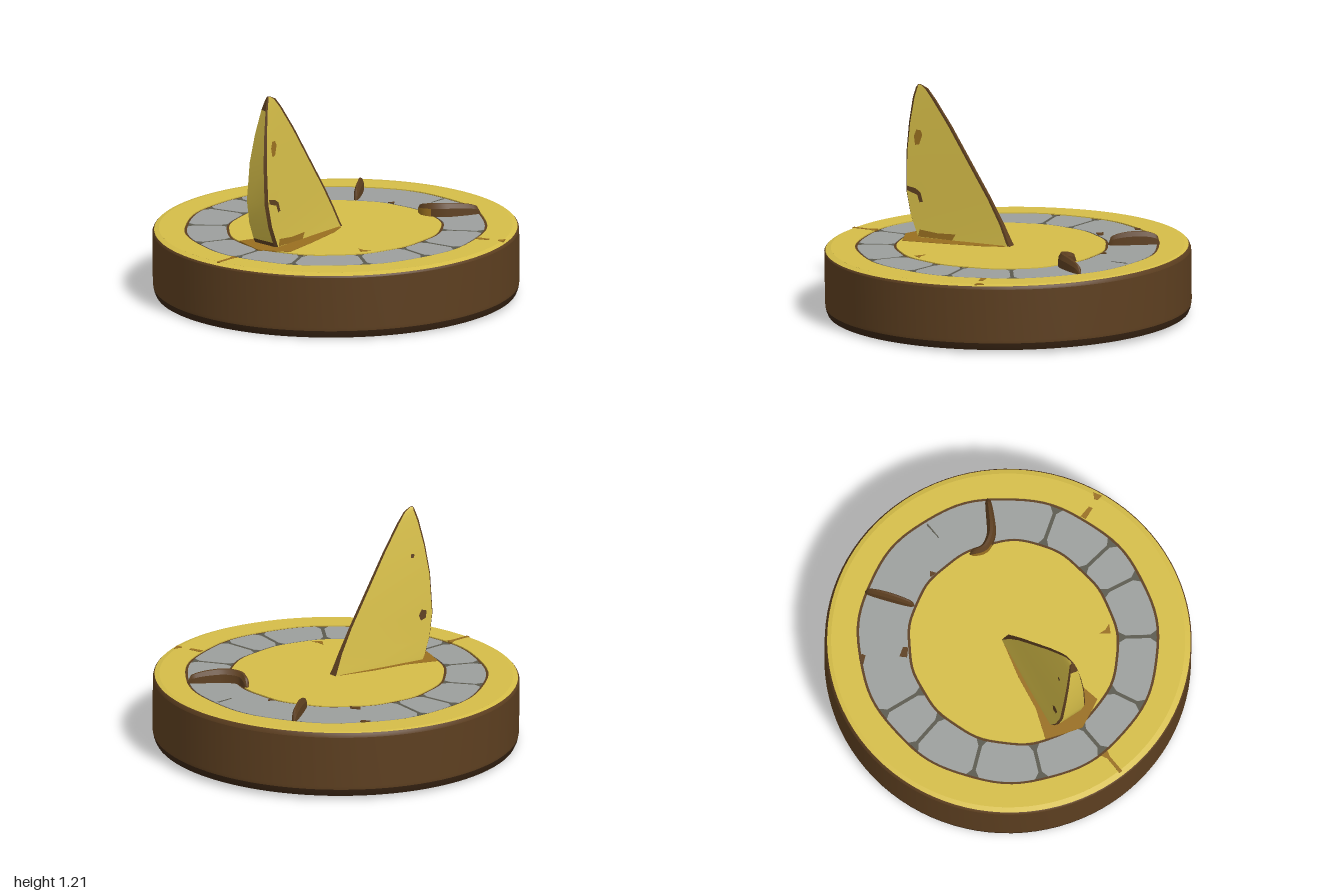
import * as THREE from 'three';

const mat = (name, color, side = THREE.FrontSide) => {
  const m = new THREE.MeshStandardMaterial({ color, side });
  m.name = name;
  return m;
};
const gold = mat('gold', 0xd5bd48);
const brown = mat('brown', 0x5d3f20, THREE.DoubleSide);
const darkBrown = mat('dark brown', 0x382413);
const ochre = mat('ochre', 0x996f20, THREE.DoubleSide);
const stoneGrey = mat('stone grey', 0x9c9f9d);
const jointGrey = mat('joint grey', 0x5b5a4f);

const RAD = Math.PI / 180;
const TOP = 0.376;

// slightly uneven edges of the stone ring; angle runs from +x towards +z
const inner = a => 0.579 + 0.0075 * Math.cos(a) + 0.035 * Math.sin(a) - 0.011 * Math.cos(2 * a)
  + 0.03 * Math.max(0, Math.cos(a + 0.7)) ** 8 + 0.003 * Math.sin(13 * a);
const outer = a => 0.812 - 0.008 * Math.cos(2 * a) + 0.004 * Math.sin(11 * a + 2);

function add(parent, name, geometry, material) {
  const mesh = new THREE.Mesh(geometry, material);
  mesh.name = name;
  parent.add(mesh);
  return mesh;
}

function lathe(points) {
  return new THREE.LatheGeometry(points.map(p => new THREE.Vector2(...p)), 96);
}

// wears the upper edge down towards the front right
function wear(geo) {
  const p = geo.attributes.position;
  for (let i = 0; i < p.count; i++) {
    const x = p.getX(i), y = p.getY(i), z = p.getZ(i);
    if (y > 0.353 && y < 0.375) p.setXYZ(i, x + 0.003, y - 0.007 * (0.4 * x + 0.9 * z), z + 0.003);
  }
  return geo;
}

// horizontal slab from an (x, z) outline, with its top at height y
function slab(shape, y, depth) {
  return new THREE.ExtrudeGeometry(shape, { depth, bevelEnabled: false, curveSegments: 96 })
    .rotateX(Math.PI / 2).translate(0, y, 0);
}

const polar = (r, a) => new THREE.Vector2(r * Math.cos(a), r * Math.sin(a));
const outline = (radius, n = 96) =>
  Array.from({ length: n }, (_, i) => polar(radius(i / n * 2 * Math.PI), i / n * 2 * Math.PI));
const polygon = pts => new THREE.Shape(pts.map(p => new THREE.Vector2(...p)));

// skin over rings of points; pick(row, edge) gives the material index
function loft(rings, pick) {
  const geo = new THREE.BufferGeometry(), pos = [], index = [];
  const n = rings[0].length, rows = rings.length;
  for (let j = 0; j < n; j++) {
    const start = pos.length / 3;
    for (const ring of rings) pos.push(...ring[j], ...ring[(j + 1) % n]);
    for (let i = 0; i < rows - 1; i++) {
      const a = start + i * 2;
      geo.addGroup(index.length, 6, pick(i, j));
      index.push(a, a + 1, a + 3, a, a + 3, a + 2);
    }
  }
  // end cap
  const cap = pos.length / 3;
  for (const p of rings[rows - 1]) pos.push(...p);
  geo.addGroup(index.length, (n - 2) * 3, pick(rows - 1, n - 1));
  for (let j = 1; j < n - 1; j++) index.push(cap, cap + j, cap + j + 1);
  geo.setAttribute('position', new THREE.Float32BufferAttribute(pos, 3));
  geo.setIndex(index);
  geo.computeVertexNormals();
  return geo;
}

// low flat-topped ridge following a path on the dial
function ridge(points, width, height, pick) {
  const curve = new THREE.CatmullRomCurve3(points.map(([x, z]) => new THREE.Vector3(x, 0, z)));
  const steps = 20, rings = [];
  for (let i = 0; i <= steps; i++) {
    const t = i / steps, p = curve.getPoint(t), d = curve.getTangent(t);
    const k = Math.pow(Math.max(Math.sin(Math.PI * t), 0), 0.28);
    const w = width * (0.15 + 0.85 * k);
    const at = (s, y) => [p.x + d.z * s * w, 0.36 + y, p.z - d.x * s * w];
    const h = 0.015 + height * k;
    rings.push([at(1, 0), at(0.85, h * 0.7), at(0.3, h), at(-0.3, h), at(-0.85, h * 0.7), at(-1, 0)]);
  }
  return loft(rings, pick);
}

// gnomon sections: height, back z, front z, left x, right x, half width of the back edge
const SECTIONS = [
  [0.345, -0.04, 0.54, -0.125, 0.05, 0.028],
  [0.395, -0.01, 0.563, -0.13, 0.05, 0.022],
  [0.49, 0.035, 0.60, -0.128, 0.048, 0.014],
  [0.62, 0.11, 0.628, -0.12, 0.045, 0.01],
  [0.84, 0.255, 0.63, -0.096, 0.036, 0.009],
  [1.00, 0.36, 0.618, -0.066, 0.026, 0.008],
  [1.14, 0.463, 0.598, -0.034, 0.014, 0.007],
  [1.195, 0.51, 0.582, -0.018, 0.007, 0.005],
  [1.213, 0.55, 0.57, -0.008, 0.003, 0.003],
];

function gnomonGeometry() {
  const rings = SECTIONS.map(([y, zb, zf, l, r, b]) => {
    const w = r - l, depth = zf - zb, inset = Math.min(0.025, depth * 0.3);
    const sliver = Math.min(0.014, depth * 0.2);
    return [
      [-b, y, zb],
      [l, y, zf - inset],
      [l + w * 0.06, y, zf - inset * 0.5],
      [r - w * 0.1, y, zf],
      [r, y, zf - inset * 0.5],
      [b + (r - b) * sliver / depth, y, zb + sliver],
      [b, y, zb],
    ];
  });
  // brown on the edges, the foot of the front and the tip
  return loft(rings, (i, j) => ([1, 3, 5, 6].includes(j) || (j === 2 && (i === 0 || i >= 6)) ? 1 : 0));
}

// painted patch laid on a gnomon side (1 = the face at +x, -1 = the other)
function patch(side, points) {
  const geo = new THREE.ShapeGeometry(polygon(points));
  const p = geo.attributes.position;
  for (let i = 0; i < p.count; i++) {
    const z = p.getX(i), y = p.getY(i);
    let k = 0;
    while (k < SECTIONS.length - 2 && SECTIONS[k + 1][0] < y) k++;
    const t = (y - SECTIONS[k][0]) / (SECTIONS[k + 1][0] - SECTIONS[k][0]);
    const [, zb, zf, l, r, b] = SECTIONS[k].map((v, c) => v + (SECTIONS[k + 1][c] - v) * t);
    const u = (z - zb) / (zf - 0.02 - zb);
    const x = side > 0 ? b + (r - b) * u : -b + (l + b) * u;
    p.setXYZ(i, x + side * 0.004, y, z);
  }
  geo.computeVertexNormals();
  return geo;
}

export function createModel() {
  const model = new THREE.Group();
  model.name = 'sundial';

  // round base, leaning slightly forward
  const dial = new THREE.Group();
  dial.name = 'dial';
  dial.rotation.x = 0.0125;
  model.add(dial);
  add(dial, 'underside', lathe([[0, 0.0125], [0.985, 0.0125]]), brown);
  add(dial, 'lowerBand', lathe([[0.985, 0.0125], [0.993, 0.03], [0.998, 0.052]]), darkBrown);
  add(dial, 'baseWall', lathe([[0.998, 0.052], [1, 0.07], [1, 0.352]]), brown);
  add(dial, 'upperEdge', wear(lathe([[1, 0.352], [0.997, 0.363], [0.991, 0.369]])), brown);
  add(dial, 'rimBevel', wear(lathe([[0.991, 0.369], [0.965, TOP]])), gold);

  // flat rim, sunken ring and centre disc
  const rim = new THREE.Shape().absarc(0, 0, 0.965, 0, 2 * Math.PI);
  rim.holes.push(new THREE.Path(outline(a => outer(a) + 0.014)));
  add(dial, 'rim', slab(rim, TOP, 0.012), gold);
  add(dial, 'ringFloor', slab(new THREE.Shape().absarc(0, 0, 0.9, 0, 2 * Math.PI), 0.37, 0.01), brown);
  const joints = new THREE.Shape(outline(outer));
  joints.holes.push(new THREE.Path(outline(inner)));
  add(dial, 'ringJoints', slab(joints, 0.372, 0.004), jointGrey);
  add(dial, 'centreDisc', slab(new THREE.Shape(outline(a => inner(a) - 0.014)), TOP, 0.012), gold);

  // paving stones with clipped corners
  const cuts = [-32, -6, 11, 37, 66, 90, 116, 143, 169, 187, 328];
  for (let i = 0; i < cuts.length - 1; i++) {
    const a0 = cuts[i] * RAD, a1 = cuts[i + 1] * RAD, n = Math.ceil((a1 - a0) / 0.06);
    const arc = (radius, gap) => Array.from({ length: n + 1 }, (_, k) => {
      const a = a0 + gap + (a1 - a0 - 2 * gap) * k / n;
      return polar(radius(a), a);
    });
    const side = (a, s) => [0.035, -0.035].map(d => {
      const r = d > 0 ? inner(a) + d : outer(a) + d;
      return polar(r, a + s * 0.01 / r);
    });
    const pts = [
      ...side(a0, 1), ...arc(outer, 0.045),
      ...side(a1, -1).reverse(), ...arc(inner, 0.05).reverse(),
    ];
    add(dial, 'stone' + (i + 1), slab(new THREE.Shape(pts), 0.374, 0.004), stoneGrey);
  }

  // hairline crack and chipped edges of the ring
  add(dial, 'backCrack', slab(polygon([[0.074, -0.8], [0.084, -0.8], [0.082, -0.7], [0.077, -0.7]]), 0.376, 0.004), jointGrey);
  const chips = [
    [[-0.52, -0.3], [-0.47, -0.33], [-0.45, -0.31], [-0.49, -0.27]],
    [[-0.7, -0.43], [-0.67, -0.44], [-0.66, -0.42], [-0.7, -0.39]],
    [[-0.1, -0.55], [-0.08, -0.58], [-0.06, -0.55]],
  ];
  chips.forEach((pts, i) => add(dial, 'ringChip' + (i + 1), slab(polygon(pts), 0.378, 0.006), brown));

  // raised marks at the back of the ring, the right one worn at its inner end
  add(dial, 'leftMark',
    ridge([[-0.43, -0.71], [-0.36, -0.61], [-0.27, -0.475]], 0.02, 0.073, () => 0), [brown]);
  add(dial, 'rightMark',
    ridge([[0.43, -0.71], [0.37, -0.61], [0.31, -0.53], [0.23, -0.49], [0.15, -0.52]], 0.026, 0.071,
      (i, j) => (i >= 13 && j === 0 ? 1 : 0)), [brown, ochre]);

  // worn patches on the dial face
  const worn = [
    [[-0.03, 0], [-0.09, 0.2], [-0.13, 0.4], [-0.2, 0.57], [-0.1, 0.61], [0, 0.645], [0.1, 0.6], [0.165, 0.57],
      [0.13, 0.35], [0.08, 0.1], [0.04, 0]],
    [[-0.025, 0.835], [-0.008, 0.87], [-0.01, 0.975], [0.01, 0.975], [0.01, 0.87], [0.02, 0.835]],
    [[0.76, -0.31], [0.83, -0.325], [0.84, -0.305], [0.77, -0.28]],
    [[0.41, 0.28], [0.45, 0.285], [0.49, 0.27], [0.46, 0.32]],
    [[0.88, -0.34], [0.90, -0.375], [0.925, -0.33], [0.89, -0.325]],
  ];
  worn.forEach((pts, i) => add(dial, 'wornPatch' + (i + 1), slab(polygon(pts), TOP + 0.002, 0.008), ochre));

  // upright gnomon and its chips
  const gnomon = new THREE.Group();
  gnomon.name = 'gnomon';
  model.add(gnomon);
  add(gnomon, 'gnomonBlade', gnomonGeometry(), [gold, brown]);
  add(gnomon, 'upperChip',
    patch(1, [[0.57, 0.88], [0.578, 0.93], [0.565, 0.965], [0.54, 0.965], [0.528, 0.94], [0.545, 0.885]]), ochre);
  add(gnomon, 'sideChip',
    patch(1, [[0.612, 0.65], [0.56, 0.64], [0.53, 0.62], [0.515, 0.57], [0.535, 0.565], [0.55, 0.605], [0.612, 0.625]]), brown);
  add(gnomon, 'footStain', patch(1, [[0.54, 0.375], [0.53, 0.415], [0.42, 0.405], [0.31, 0.41], [0.33, 0.375]]), ochre);
  add(gnomon, 'backChip', patch(-1, [[0.56, 0.6], [0.57, 0.64], [0.54, 0.65], [0.52, 0.62], [0.53, 0.59]]), brown);
  add(gnomon, 'smallChip', patch(-1, [[0.52, 0.94], [0.53, 0.96], [0.51, 0.965], [0.505, 0.945]]), brown);

  return model;
}
